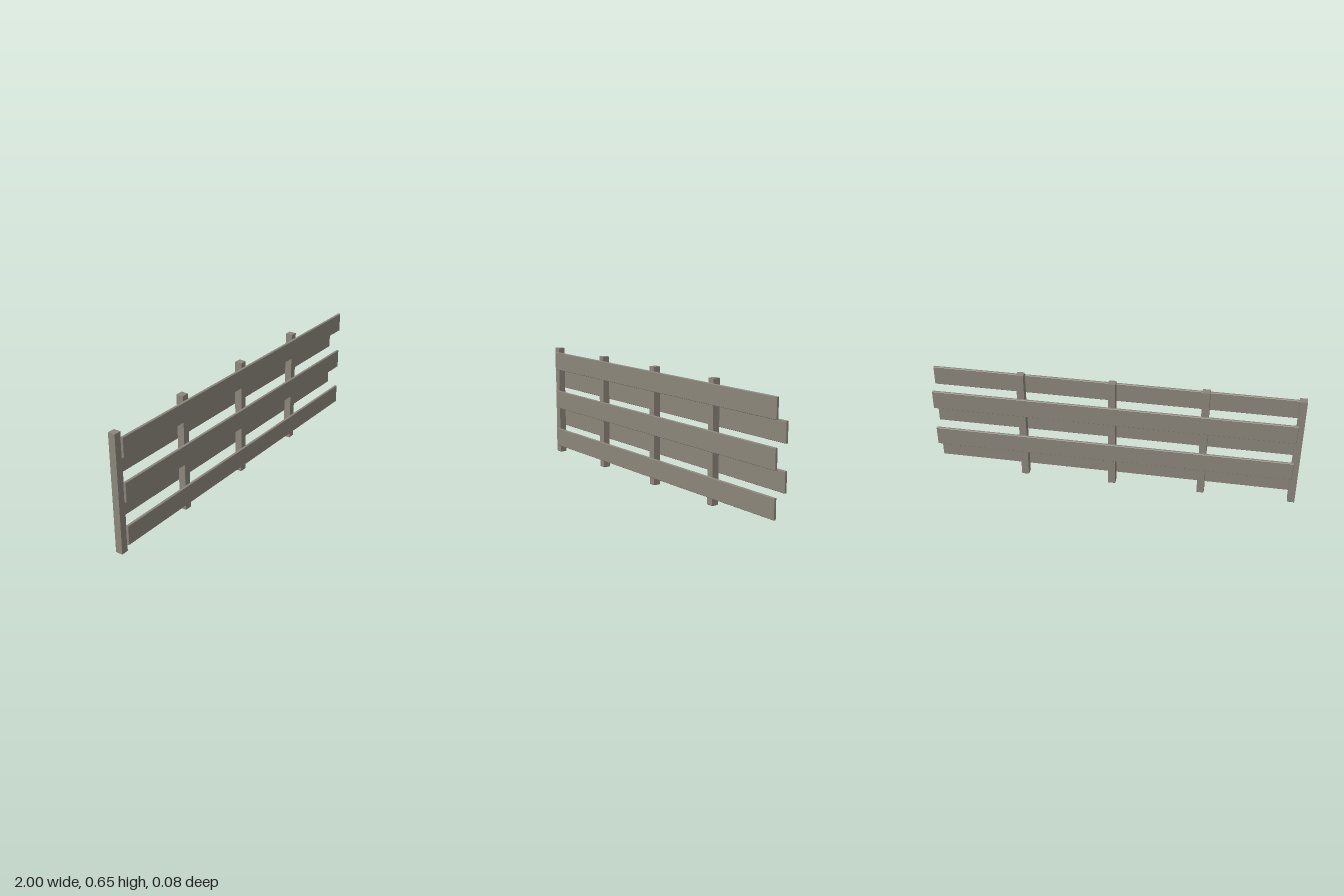
import * as THREE from 'three';

const HEIGHT = 0.652;
const POST = 0.04;
const CHAMFER = 0.002;

// Square post with a sharp top and a slightly chamfered foot
function postGeometry() {
  const box = new THREE.BoxGeometry(POST, HEIGHT, POST, 1, 2, 1);
  box.translate(0, HEIGHT / 2, 0);
  const p = box.attributes.position;
  for (let i = 0; i < p.count; i++) {
    const y = p.getY(i);
    if (y < 0.01) {
      p.setX(i, p.getX(i) * 0.9);
      p.setZ(i, p.getZ(i) * 0.9);
    } else if (y < HEIGHT * 0.75) {
      p.setY(i, 0.003);
    }
  }
  const flat = box.toNonIndexed();
  flat.computeVertexNormals();
  return flat;
}

// Long board with chamfered edges on both broad faces
function plankGeometry(length, height, depth) {
  const x = length / 2 - CHAMFER;
  const y = height / 2 - CHAMFER;
  const outline = new THREE.Shape([
    new THREE.Vector2(-x, -y),
    new THREE.Vector2(x, -y),
    new THREE.Vector2(x, y),
    new THREE.Vector2(-x, y),
  ]);
  const geometry = new THREE.ExtrudeGeometry(outline, {
    depth: depth - 2 * CHAMFER,
    bevelEnabled: true,
    bevelSegments: 1,
    bevelSize: CHAMFER,
    bevelThickness: CHAMFER,
  });
  return geometry.center();
}

export function createModel() {
  const group = new THREE.Group();
  group.name = 'plankFence';

  const wood = new THREE.MeshStandardMaterial({ color: 0x8b867b });
  wood.name = 'weathered wood';

  // Evenly spaced posts; the far end is left open to join another section
  const post = postGeometry();
  for (let i = 0; i < 4; i++) {
    const mesh = new THREE.Mesh(post, wood);
    mesh.name = `post${i + 1}`;
    mesh.position.x = -0.98 + i * 0.496;
    group.add(mesh);
  }

  // Planks alternate between the front and back of the posts
  const plank = plankGeometry(1.97, 0.107, 0.015);
  for (let i = 0; i < 5; i++) {
    const front = i % 2 === 0;
    const mesh = new THREE.Mesh(plank, wood);
    mesh.name = `${front ? 'front' : 'back'}Plank${i + 1}`;
    mesh.position.set(0.015, 0.1 + i * 0.119, front ? 0.0325 : -0.0315);
    group.add(mesh);
  }

  return group;
}
